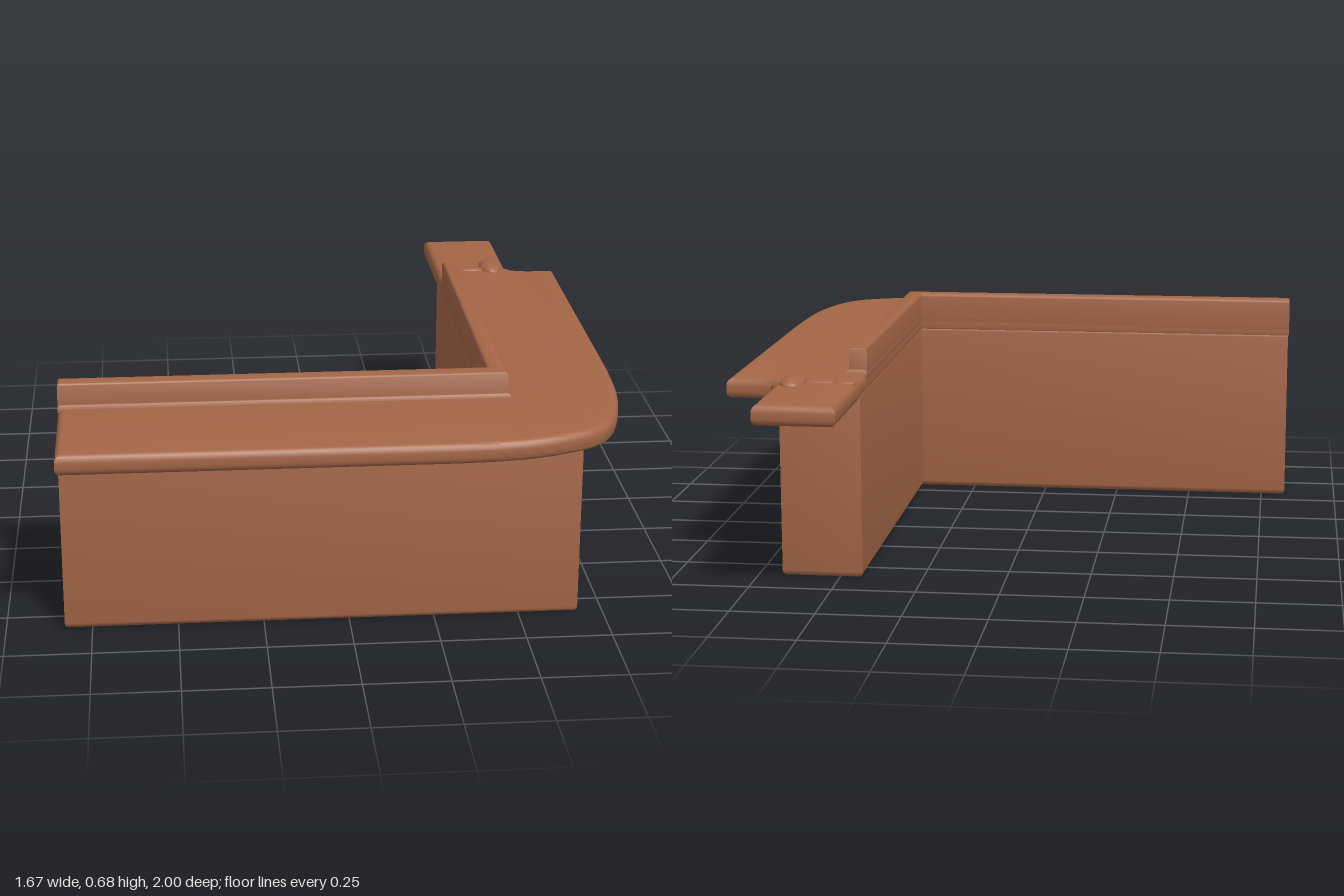
import * as THREE from 'three';
import { toCreasedNormals } from 'three/addons/utils/BufferGeometryUtils.js';

const brown = new THREE.MeshStandardMaterial({ color: 0xa46646 });
brown.name = 'warm brown';

// Extrudes a floor plan upwards from y0 to y1 with rounded edges (plan y is -z)
function slab(name, shape, y0, y1, bevel) {
  const raw = new THREE.ExtrudeGeometry(shape, {
    depth: y1 - y0 - 2 * bevel, curveSegments: 12, bevelEnabled: true,
    bevelThickness: bevel, bevelSize: bevel, bevelOffset: -bevel, bevelSegments: 4,
  });
  raw.rotateX(-Math.PI / 2).translate(0, y0 + bevel, 0);
  const mesh = new THREE.Mesh(toCreasedNormals(raw, 0.6), brown);
  mesh.name = name;
  return mesh;
}

// Closed plan from [x, z] corners
const plan = (pts) => new THREE.Shape(pts.map(([x, z]) => new THREE.Vector2(x, -z)));

export function createModel() {
  const group = new THREE.Group();
  group.name = 'cornerCounter';

  // L-shaped body
  group.add(slab('counterBase', plan([
    [-0.83, 0.84], [0.675, 0.84], [0.675, -0.62], [0.43, -0.62], [0.43, 0.57], [-0.83, 0.57],
  ]), 0.005, 0.575, 0.018));

  // Worktop with a swept outer corner and a narrow flap at the back
  const bend = new THREE.SplineCurve([
    [0.4, 0.995], [0.5, 0.982], [0.6, 0.953], [0.7, 0.905], [0.76, 0.83],
    [0.8, 0.7], [0.822, 0.55], [0.83, 0.35],
  ].map(([x, z]) => new THREE.Vector2(x, z))).getPoints(28).map((p) => [p.x, p.y]);
  group.add(slab('worktop', plan([
    [-0.833, 1], [0.3, 1], ...bend, [0.833, -0.62], [0.74, -0.62], [0.695, -0.632], [0.672, -0.66],
    [0.672, -1], [0.43, -1], [0.43, 0.57], [-0.833, 0.57],
  ]), 0.547, 0.61, 0.022));

  // Raised ledge along the inner edge, with a low foot where it meets the top
  const ledge = (w, end) => plan([
    [-0.833, 0.57 + w], [0.43 + w, 0.57 + w], [0.43 + w, end], [0.43, end], [0.43, 0.57], [-0.833, 0.57],
  ]);
  group.add(slab('ledge', ledge(0.055, -0.495), 0.57, 0.686, 0.011));
  group.add(slab('ledgeFoot', ledge(0.063, -0.508), 0.59, 0.622, 0.01));

  // Small uneven ridge across the flap joint
  [[0.47, -0.645, 0.035, 0.008], [0.55, -0.64, 0.05, 0.009], [0.62, -0.665, 0.04, 0.024]].forEach(([x, z, w, h]) => {
    const bump = new THREE.Mesh(new THREE.SphereGeometry(1, 20, 12), brown);
    bump.name = 'jointRidge';
    bump.scale.set(w, h, h > 0.02 ? 0.07 : 0.02);
    bump.position.set(x, 0.608, z);
    group.add(bump);
  });
  return group;
}
